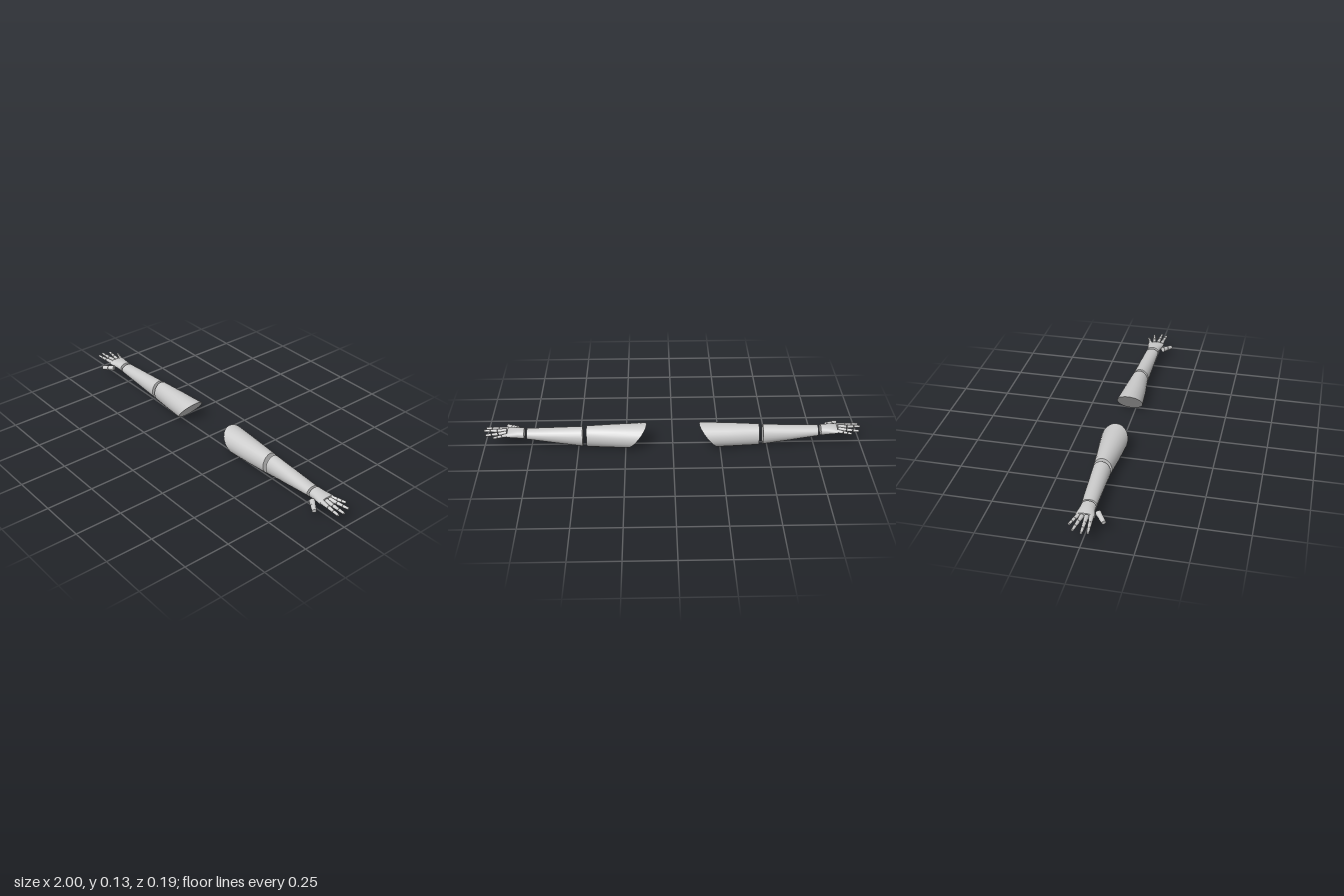
import * as THREE from 'three';

const material = new THREE.MeshStandardMaterial({ color: 0xcccccc });
const SIDES = 24;

// Capped loft along x. Each ring: [x, y, z, ry, rz, slant]; side is +1 or -1.
function loft(name, rings, side) {
  const pos = [], index = [];
  const addRing = ([x, y, z, ry, rz, slant = 0]) => {
    const first = pos.length / 3;
    for (let j = 0; j < SIDES; j++) {
      const a = side * j / SIDES * Math.PI * 2;
      pos.push(side * (x - slant * Math.sin(a)), y + ry * Math.sin(a), z + rz * Math.cos(a));
    }
    return first;
  };
  const starts = rings.map(addRing);
  for (let i = 0; i < rings.length - 1; i++) {
    for (let j = 0; j < SIDES; j++) {
      const k = (j + 1) % SIDES, p = starts[i], q = starts[i + 1];
      index.push(p + j, q + j, p + k, q + j, q + k, p + k);
    }
  }
  // Flat end caps with their own vertices keep the rims sharp
  [rings[0], rings[rings.length - 1]].forEach((ring, end) => {
    const first = addRing(ring);
    for (let j = 1; j < SIDES - 1; j++) {
      if (end) index.push(first, first + j + 1, first + j);
      else index.push(first, first + j, first + j + 1);
    }
  });
  const geo = new THREE.BufferGeometry();
  geo.setAttribute('position', new THREE.Float32BufferAttribute(pos, 3));
  geo.setIndex(index);
  geo.computeVertexNormals();
  const mesh = new THREE.Mesh(geo, material);
  mesh.name = name;
  return mesh;
}

// Tapered cylinder between two points
function segment(name, a, b, ra, rb) {
  const dir = b.clone().sub(a);
  const mesh = new THREE.Mesh(new THREE.CylinderGeometry(rb, ra, dir.length(), 14), material);
  mesh.position.copy(a).add(b).multiplyScalar(0.5);
  mesh.quaternion.setFromUnitVectors(new THREE.Vector3(0, 1, 0), dir.normalize());
  mesh.name = name;
  return mesh;
}

// Chain of phalanges; cuts are the fractions where the joints sit
function digit(name, base, tip, r0, r1, cuts, side) {
  const group = new THREE.Group();
  group.name = name;
  const a = new THREE.Vector3(side * base[0], base[1], base[2]);
  const b = new THREE.Vector3(side * tip[0], tip[1], tip[2]);
  for (let i = 0; i < cuts.length - 1; i++) {
    const t0 = cuts[i], t1 = cuts[i + 1] - (i < cuts.length - 2 ? 0.025 : 0);
    const r = THREE.MathUtils.lerp(r0, r1, t0);
    group.add(segment('phalanx', a.clone().lerp(b, t0), a.clone().lerp(b, t1),
      r, THREE.MathUtils.lerp(r0, r1, t1) * 0.92));
  }
  return group;
}

function buildArm(side) {
  const arm = new THREE.Group();
  arm.name = side > 0 ? 'leftArm' : 'rightArm';

  // Upper arm with slanted shoulder cut
  arm.add(loft('upperArm', [
    [0.192, 0.065, -0.023, 0.065, 0.071, 0.053],
    [0.32, 0.0635, -0.022, 0.062, 0.061, 0.02],
    [0.455, 0.062, -0.022, 0.058, 0.047],
  ], side));

  arm.add(loft('forearm', [
    [0.476, 0.062, -0.022, 0.055, 0.046],
    [0.62, 0.068, -0.017, 0.041, 0.042],
    [0.77, 0.075, -0.011, 0.026, 0.037],
  ], side));

  // Hand
  const hand = new THREE.Group();
  hand.name = 'hand';
  hand.add(loft('palm', [
    [0.784, 0.077, -0.010, 0.027, 0.036],
    [0.815, 0.079, -0.009, 0.025, 0.037],
    [0.85, 0.081, -0.007, 0.020, 0.044],
    [0.872, 0.082, -0.006, 0.015, 0.048],
  ], side));

  const fingers = [
    ['indexFinger', [0.872, 0.084, 0.025], [0.99, 0.082, 0.037], 0.012],
    ['middleFinger', [0.878, 0.086, 0.004], [0.999, 0.084, 0.008], 0.012],
    ['ringFinger', [0.877, 0.085, -0.018], [0.985, 0.082, -0.036], 0.0115],
    ['littleFinger', [0.872, 0.083, -0.038], [0.943, 0.081, -0.063], 0.010],
  ];
  for (const [name, base, tip, r] of fingers) {
    hand.add(digit(name, base, tip, r, 0.0065, [0, 0.42, 0.73, 1], side));
  }
  hand.add(digit('thumb', [0.825, 0.074, 0.045], [0.882, 0.066, 0.085], 0.015, 0.0115, [0, 0.5, 1], side));
  arm.add(hand);
  return arm;
}

export function createModel() {
  const model = new THREE.Group();
  model.name = 'armPair';
  for (const side of [1, -1]) model.add(buildArm(side));
  return model;
}
